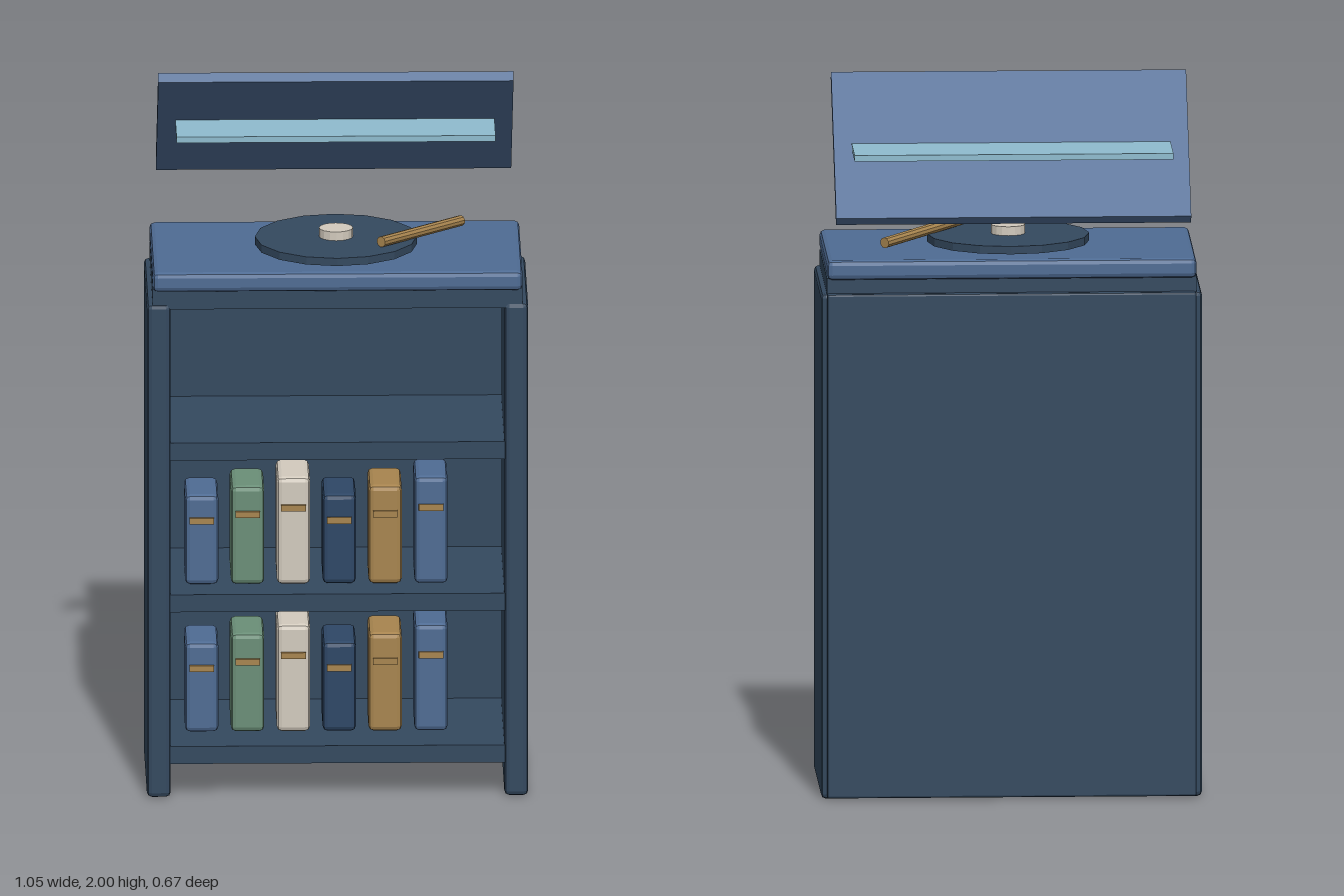
import * as THREE from 'three';
import { RoundedBoxGeometry } from 'three/addons/geometries/RoundedBoxGeometry.js';

const paint = (color) => new THREE.MeshStandardMaterial({ color, flatShading: true });
const body = paint(0x34495f);
const blue = paint(0x4f6c94);
const glass = paint(0x8fbccf);
const brass = paint(0xa8854f);
const cream = paint(0xd3cbbe);
const green = paint(0x6b8f78);
const navy = paint(0x2e4766);

// Box given by its min and max corners, with an optional chamfer
function block(name, material, min, max, chamfer = 0) {
  const size = max.map((v, i) => v - min[i]);
  const geometry = chamfer
    ? new RoundedBoxGeometry(...size, 1, chamfer)
    : new THREE.BoxGeometry(...size);
  const mesh = new THREE.Mesh(geometry, material);
  mesh.name = name;
  mesh.position.set(...max.map((v, i) => (v + min[i]) / 2));
  return mesh;
}

// Upright cylinder standing on y
function disc(name, material, radius, y, height, z) {
  const mesh = new THREE.Mesh(new THREE.CylinderGeometry(radius, radius, height, 16), material);
  mesh.name = name;
  mesh.position.set(0, y + height / 2, z);
  return mesh;
}

function createCabinet() {
  const cabinet = new THREE.Group();
  cabinet.name = 'cabinet';
  for (const [name, x] of [['rightSide', -0.493], ['leftSide', 0.493]]) {
    cabinet.add(block(name, body, [x - 0.033, 0, -0.175], [x + 0.033, 1.415, 0.31], 0.014));
  }
  cabinet.add(block('backPanel', body, [-0.51, 0.005, -0.195], [0.51, 1.415, -0.17], 0.006));
  for (const y of [0.095, 0.53, 0.965]) {
    cabinet.add(block('shelf', body, [-0.47, y, -0.175], [0.47, y + 0.05, 0.3]));
  }
  cabinet.add(block('topRail', body, [-0.51, 1.4, -0.175], [0.51, 1.457, 0.305]));
  cabinet.add(block('top', blue, [-0.51, 1.455, -0.2], [0.51, 1.51, 0.332], 0.014));
  return cabinet;
}

// A row of books of three heights, each with a brass band on the spine
function createBooks(y) {
  const row = new THREE.Group();
  row.name = 'bookRow';
  const covers = [blue, green, cream, navy, brass, blue];
  covers.forEach((cover, i) => {
    const x = -0.373 + i * 0.1265;
    const height = 0.257 + (i % 3) * 0.025;
    const bandY = y + height * 0.72;
    row.add(block('book', cover, [x - 0.046, y, 0.02], [x + 0.046, y + height, 0.215], 0.014));
    row.add(block('spineBand', brass, [x - 0.034, bandY - 0.009, 0.2], [x + 0.034, bandY + 0.009, 0.223]));
  });
  return row;
}

function createTurntable() {
  const turntable = new THREE.Group();
  turntable.name = 'turntable';
  turntable.add(disc('platter', body, 0.224, 1.518, 0.022, 0.067));
  turntable.add(disc('spindle', cream, 0.047, 1.538, 0.027, 0.067));

  // Tone arm laid between two points
  const tip = new THREE.Vector3(0.122, 1.558, 0.19);
  const pivot = new THREE.Vector3(0.347, 1.54, -0.083);
  const along = pivot.clone().sub(tip);
  const arm = new THREE.Mesh(new THREE.CylinderGeometry(0.015, 0.015, along.length(), 10), brass);
  arm.name = 'toneArm';
  arm.position.copy(tip).add(pivot).multiplyScalar(0.5);
  arm.quaternion.setFromUnitVectors(new THREE.Vector3(0, 1, 0), along.normalize());
  turntable.add(arm);
  return turntable;
}

// Raised lid tilted over a level glass pane
function createLid() {
  const lid = new THREE.Group();
  lid.name = 'lid';
  const board = block('lidBoard', blue, [-0.49, -0.015, -0.248], [0.49, 0.015, 0.248]);
  board.position.set(0, 1.814, -0.134);
  board.rotation.x = -Math.PI / 4;
  lid.add(board);
  lid.add(block('glassPane', glass, [-0.44, 1.811, -0.337], [0.44, 1.828, 0.073]));
  return lid;
}

export function createModel() {
  const model = new THREE.Group();
  model.name = 'recordCabinet';
  model.add(createCabinet(), createBooks(0.16), createBooks(0.583), createTurntable(), createLid());
  return model;
}
